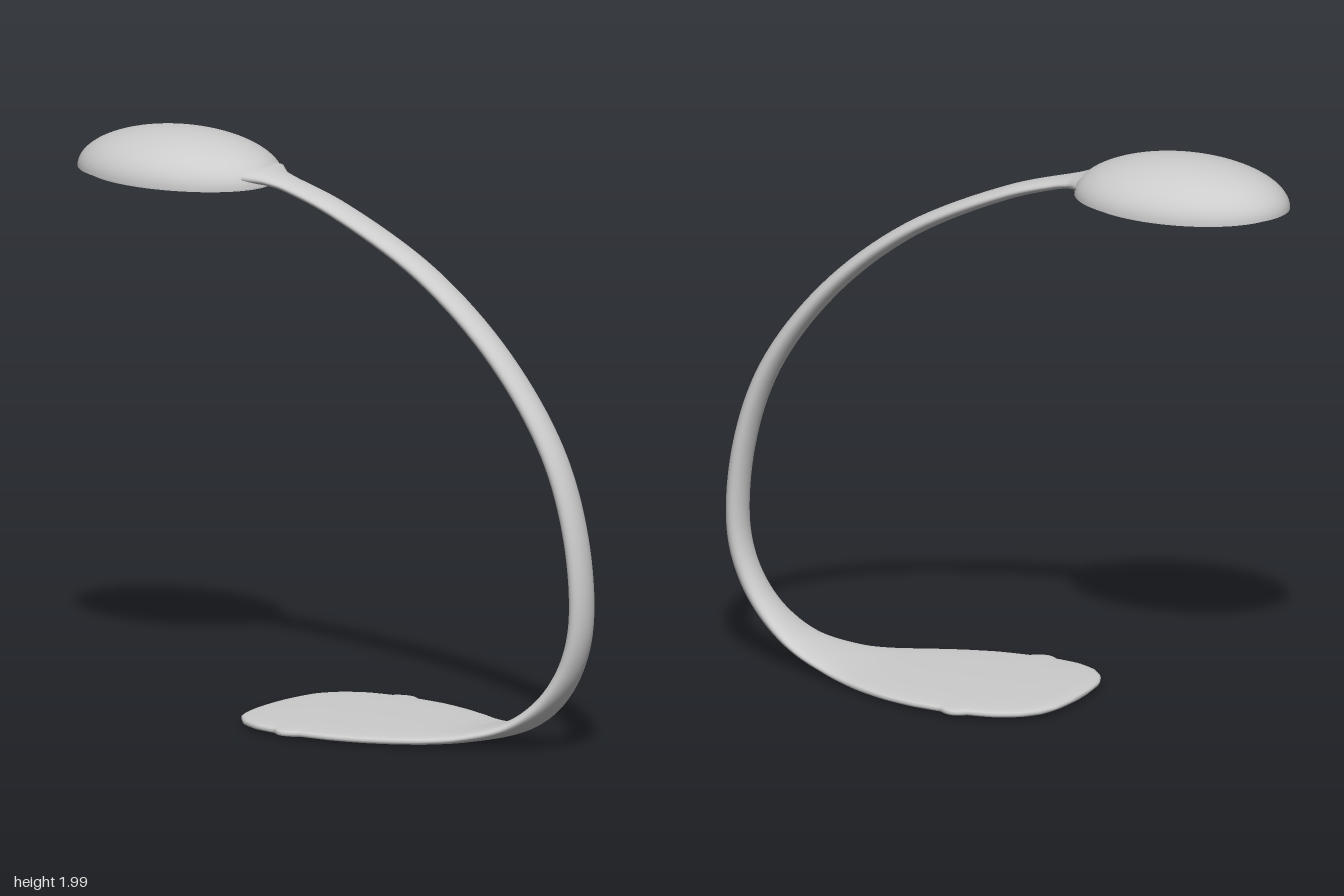
import * as THREE from 'three';

const material = new THREE.MeshStandardMaterial({ color: 0xcccccc, roughness: 0.6 });

// Sections along the lamp: distance along, height, half width, half thickness
const sections = [
  [-0.265, 0.026, 0.001, 0.001], [-0.263, 0.026, 0.07, 0.007], [-0.252, 0.026, 0.165, 0.012],
  [-0.225, 0.026, 0.235, 0.017], [-0.17, 0.026, 0.297, 0.019], [-0.09, 0.026, 0.338, 0.02],
  [0, 0.026, 0.353, 0.02], [0.1, 0.026, 0.353, 0.02], [0.21, 0.026, 0.343, 0.02],
  [0.33, 0.026, 0.312, 0.02], [0.45, 0.027, 0.262, 0.02], [0.54, 0.03, 0.215, 0.021],
  [0.64, 0.042, 0.165, 0.023], [0.79, 0.087, 0.108, 0.028], [0.914, 0.18, 0.074, 0.034],
  [1.0, 0.31, 0.058, 0.037], [1.041, 0.47, 0.055, 0.037], [1.019, 0.76, 0.055, 0.036],
  [0.92, 1.05, 0.055, 0.034], [0.7, 1.35, 0.056, 0.031], [0.392, 1.605, 0.058, 0.027],
  [0.015, 1.79, 0.06, 0.023], [-0.18, 1.852, 0.062, 0.021], [-0.25, 1.868, 0.078, 0.023],
  [-0.305, 1.879, 0.125, 0.029],
];

// Loft of rounded cross-sections swept along a curve in the plane z = 0
function loft(list, steps, sides) {
  const path = new THREE.CatmullRomCurve3(list.map(s => new THREE.Vector3(s[0], s[1], 0)));
  const size = new THREE.CatmullRomCurve3(list.map(s => new THREE.Vector3(s[2], s[3], 0)));
  const positions = [], index = [];
  for (let i = 0; i <= steps; i++) {
    const t = i / steps, p = path.getPoint(t), d = path.getTangent(t), s = size.getPoint(t);
    // wide sections are flatter on top and bottom
    const power = 1 - 0.5 * THREE.MathUtils.smoothstep(s.x, 0.06, 0.28);
    for (let j = 0; j < sides; j++) {
      const a = (j / sides) * Math.PI * 2, sin = Math.sin(a);
      const n = s.y * Math.sign(sin) * Math.pow(Math.abs(sin), power);
      positions.push(p.x - d.y * n, p.y + d.x * n, s.x * Math.cos(a));
      if (i === steps) continue;
      const k = (j + 1) % sides, q = i * sides, r = q + sides;
      index.push(q + j, r + j, q + k, q + k, r + j, r + k);
    }
  }
  const geometry = new THREE.BufferGeometry();
  geometry.setAttribute('position', new THREE.Float32BufferAttribute(positions, 3));
  geometry.setIndex(index);
  geometry.computeVertexNormals();
  return geometry;
}

// Oval part of the head turned from a profile of unit radius
function oval(name, profile) {
  const geometry = new THREE.LatheGeometry(profile.map(p => new THREE.Vector2(p[0], p[1])), 72);
  geometry.scale(0.389, 1, 0.274);
  const mesh = new THREE.Mesh(geometry, material);
  mesh.name = name;
  return mesh;
}

export function createModel() {
  const model = new THREE.Group();
  model.name = 'deskLamp';

  // Everything lies along one diagonal direction
  const lamp = new THREE.Group();
  lamp.name = 'lamp';
  lamp.rotation.y = -THREE.MathUtils.degToRad(30.5);
  model.add(lamp);

  // Leaf-shaped foot flowing into the curved stem
  const body = new THREE.Mesh(loft(sections, 192, 40), material);
  body.name = 'footAndStem';
  body.position.z = 0.023;
  lamp.add(body);

  // Domed head with a recessed light panel underneath
  const head = new THREE.Group();
  head.name = 'head';
  head.position.set(-0.647, 1.845, 0.028);
  const dome = [];
  for (let i = 0; i <= 24; i++) {
    const a = (i / 24) * Math.PI / 2;
    dome.push([i === 24 ? 0 : Math.cos(a), 0.155 * Math.sin(a)]);
  }
  head.add(
    oval('shade', dome),
    oval('shadeUnderside', [[0.9, 0], [1, 0]]),
    oval('lipOuterWall', [[0.9, -0.014], [0.9, 0]]),
    oval('lipRim', [[0.85, -0.014], [0.9, -0.014]]),
    oval('lipInnerWall', [[0.85, 0.04], [0.85, -0.014]]),
    oval('lightPanel', [[0, 0.04], [0.85, 0.04]]),
  );
  lamp.add(head);

  return model;
}
